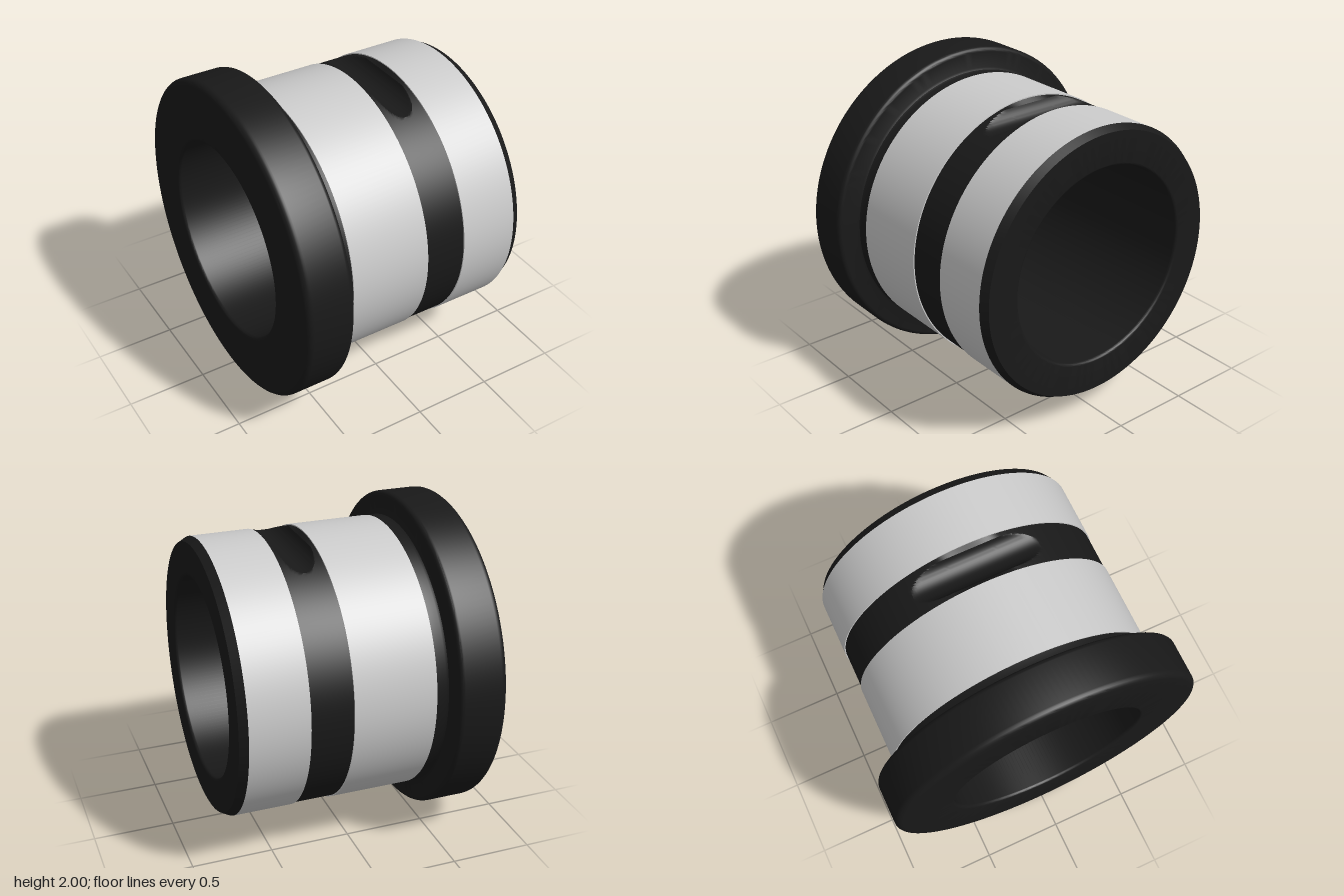
import * as THREE from 'three';
import { toCreasedNormals } from 'three/addons/utils/BufferGeometryUtils.js';

const black = new THREE.MeshStandardMaterial({ color: 0x191919 });
const grey = new THREE.MeshStandardMaterial({ color: 0xcccccc });
const R = 0.857; // sleeve radius
const BAND = 0.85; // radius of the neck and groove band
const BORE = 0.62;

// Points on a quarter-round corner, as [radius, x]
function corner(r, x, size, from) {
  return Array.from({ length: 7 }, (_, i) => {
    const a = from + (i / 6) * Math.PI / 2;
    return [r + size * Math.cos(a), x + size * Math.sin(a)];
  });
}

// Revolve a [radius, x] profile around the x axis
function revolve(name, profile, material, segments = 160, reshape) {
  let geometry = new THREE.LatheGeometry(profile.map(p => new THREE.Vector2(...p)), segments);
  if (reshape) reshape(geometry.attributes.position);
  geometry.rotateZ(-Math.PI / 2);
  geometry = toCreasedNormals(geometry, 0.45);
  const mesh = new THREE.Mesh(geometry, material);
  mesh.name = name;
  return mesh;
}

export function createModel() {
  const group = new THREE.Group();
  group.name = 'flangedBushing';
  const H = Math.PI / 2;

  // Flange with rounded rim, neck, and the shell behind it
  group.add(revolve('flange', [
    ...corner(BORE + 0.02, -0.765, 0.02, -2 * H),
    ...corner(0.96, -0.745, 0.04, -H),
    ...corner(0.97, -0.515, 0.03, 0),
    [BAND + 0.02, -0.485], [BAND + 0.006, -0.479], [BAND, -0.465],
    [BAND, -0.4],
  ], black));

  // Bevelled end face and bore
  group.add(revolve('endRimAndBore', [
    [R, 0.73], [0.83, 0.78],
    ...corner(BORE + 0.02, 0.76, 0.02, H),
    [BORE, -0.765],
  ], black));

  // Two plain bearing sleeves
  for (const [name, a, b] of [['wideSleeve', -0.405, 0.105], ['narrowSleeve', 0.365, 0.73]]) {
    group.add(revolve(name, [[BAND - 0.01, a], [R, a], [R, b], [BAND - 0.01, b]], grey));
  }

  // Band between the sleeves, scooped by a straight channel above and below
  const rows = [[0.105, R]];
  for (let i = 0; i <= 24; i++) {
    const a = -1.27 + (2.54 * i) / 24;
    rows.push([0.235 + 0.11 * Math.sin(a), 0.86 - 0.11 * Math.cos(a)]);
  }
  rows.push([0.365, R]);
  group.add(revolve('grooveBand', rows.map(([x]) => [BAND, x]), black, 360, pos => {
    for (let i = 0; i < pos.count; i++) {
      const x = pos.getX(i), z = pos.getZ(i);
      const height = rows[i % rows.length][1];
      const k = Math.min(1, height / Math.max(Math.abs(x), 1e-6));
      pos.setX(i, x * k);
      pos.setZ(i, z * k);
    }
  }));

  // Stand the ring on the ground
  group.children.forEach(mesh => { mesh.position.y = 1; });
  return group;
}
